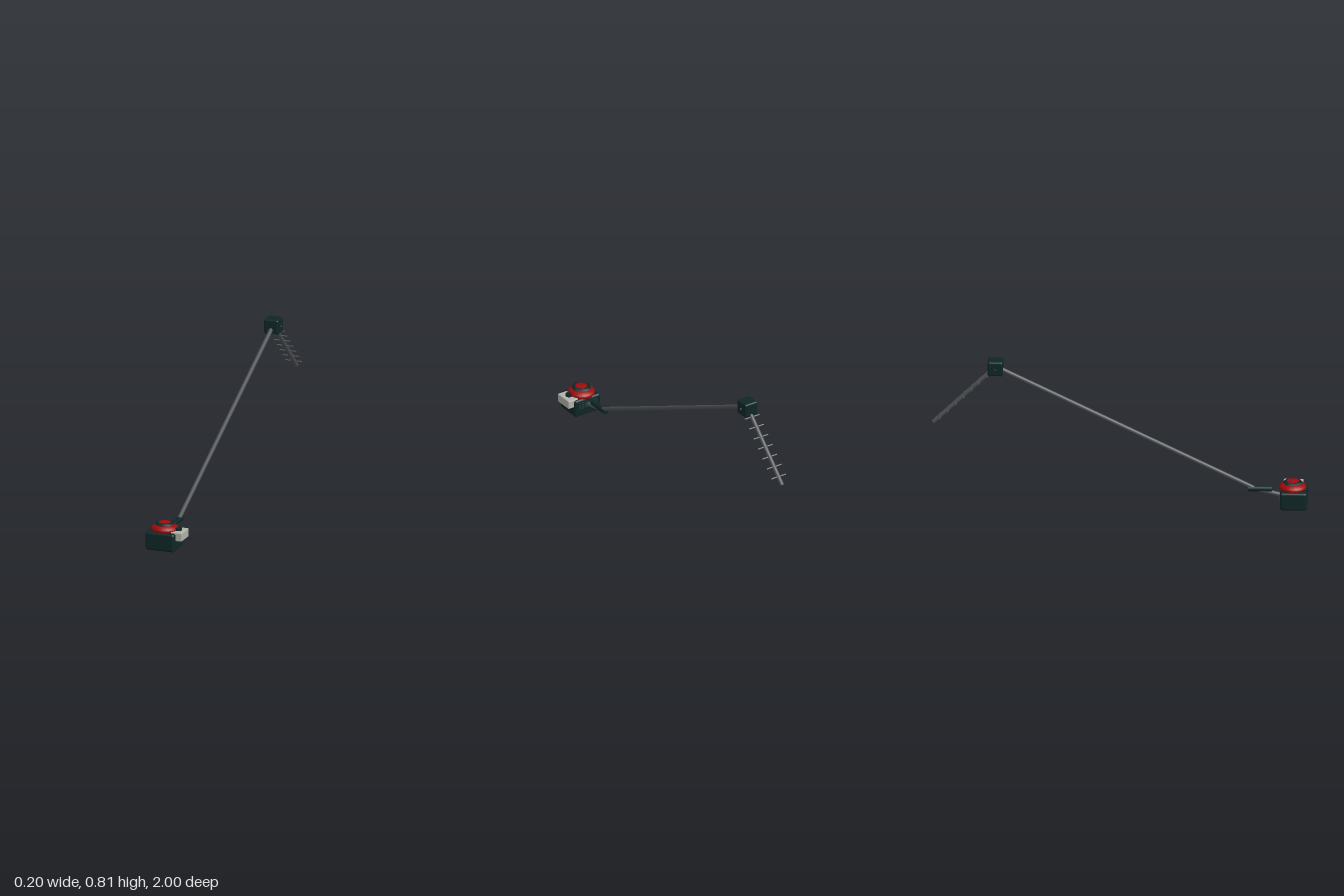
import * as THREE from 'three';
import { RoundedBoxGeometry } from 'three/addons/geometries/RoundedBoxGeometry.js';

const material = (name, color) => {
  const m = new THREE.MeshStandardMaterial({ color });
  m.name = name;
  return m;
};

export function createModel() {
  const dark = material('dark casing', 0x0f2626);
  const red = material('red starter', 0x9c0c0c);
  const steel = material('grey steel', 0x4e5154);
  const pale = material('pale tank', 0xb0b2a8);
  const vent = material('vent grey', 0x2f4040);

  const model = new THREE.Group();
  model.name = 'poleTrimmer';
  const X = -0.018; // axis of the pole

  const add = (name, geometry, mat, x, y, z) => {
    const mesh = new THREE.Mesh(geometry, mat);
    mesh.name = name;
    mesh.position.set(x, y, z);
    model.add(mesh);
    return mesh;
  };

  // Round rod between two (y, z) points in the pole's plane
  const rod = (name, mat, r, [y0, z0], [y1, z1], sides = 16) => {
    const a = new THREE.Vector3(X, y0, z0), b = new THREE.Vector3(X, y1, z1);
    const dir = b.clone().sub(a);
    const mid = a.clone().add(b).multiplyScalar(0.5);
    const mesh = add(name, new THREE.CylinderGeometry(r, r, dir.length(), sides), mat, mid.x, mid.y, mid.z);
    mesh.quaternion.setFromUnitVectors(new THREE.Vector3(0, 1, 0), dir.normalize());
    return mesh;
  };

  const lathe = (points, sides) =>
    new THREE.LatheGeometry(points.map(p => new THREE.Vector2(...p)), sides);

  // Motor casing
  add('motorCasing', new RoundedBoxGeometry(0.164, 0.1, 0.144, 3, 0.013), dark, X, 0.05, 0.928);

  // Vent slots on the back of the casing
  for (let row = 0; row < 4; row++) {
    for (let col = 0; col < 7; col++) {
      add('ventSlot', new THREE.BoxGeometry(0.011, 0.004, 0.003), vent,
        X + (col - 3) * 0.017, 0.047 + row * 0.011, 0.8555);
    }
  }

  // Domed starter with a dark ring and a red centre
  add('starterDome', lathe([[0, 0.09], [0.066, 0.09], [0.074, 0.107], [0.07, 0.116], [0.052, 0.131], [0, 0.133]], 20),
    red, X, 0, 0.922);
  add('starterRing', lathe([[0.052, 0.126], [0.053, 0.135], [0.034, 0.142], [0, 0.142]], 8), dark, X, 0, 0.922);
  add('starterCentre', lathe([[0.036, 0.139], [0.033, 0.143], [0, 0.146]], 8), red, X, 0, 0.922);

  // Fuel tank and cap
  add('fuelTank', new RoundedBoxGeometry(0.064, 0.047, 0.106, 2, 0.005), pale, 0.067, 0.082, 0.921);
  add('tankCap', new THREE.CylinderGeometry(0.018, 0.018, 0.014, 16), dark, 0.061, 0.111, 0.922);

  // Pole and grip
  rod('lowerPole', steel, 0.012, [0.058, 0.87], [0.094, 0.715]);
  rod('grip', dark, 0.0155, [0.093, 0.812], [0.093, 0.685]);
  rod('mainPole', steel, 0.0115, [0.092, 0.725], [0.765, -0.655]);

  // Gearbox
  add('gearbox', new RoundedBoxGeometry(0.081, 0.081, 0.081, 3, 0.01), dark, X, 0.765, -0.661);

  // Cutter bar with cross teeth, sloping down and back
  const top = [0.765, -0.661], end = [0.443, -0.992];
  rod('cutterBar', steel, 0.0115, top, end);
  for (let i = 0; i < 8; i++) {
    const t = i * 0.1273;
    const tooth = add('cutterTooth', new THREE.BoxGeometry(0.093, 0.006, 0.006), steel, X,
      top[0] + (end[0] - top[0]) * t, top[1] + (end[1] - top[1]) * t);
    tooth.rotation.x = Math.PI / 4;
  }

  return model;
}
